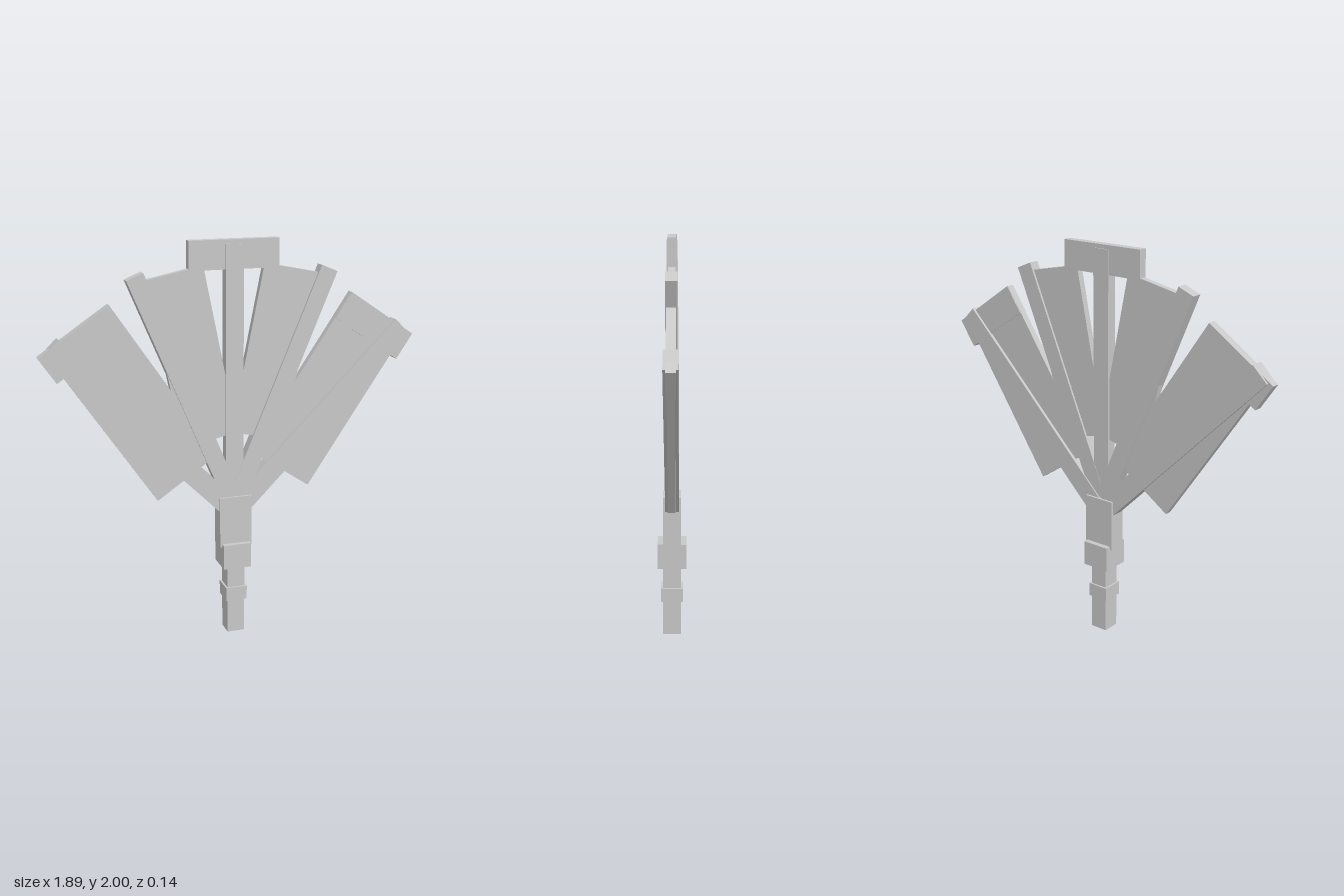
import * as THREE from 'three';

export function createModel() {
  const group = new THREE.Group();
  const grey = new THREE.MeshStandardMaterial({ color: 0xc8c8c8 });
  grey.name = 'light grey';

  // Box centred at (x, y), leaning towards +x by the given degrees
  function box(name, w, h, d, x, y, lean = 0) {
    const mesh = new THREE.Mesh(new THREE.BoxGeometry(w, h, d), grey);
    mesh.name = name;
    mesh.position.set(x, y, 0);
    mesh.rotation.z = -THREE.MathUtils.degToRad(lean);
    group.add(mesh);
  }

  // Bar running from (0, y0) to (x1, y1)
  function spoke(name, w, d, y0, x1, y1) {
    const lean = THREE.MathUtils.radToDeg(Math.atan2(x1, y1 - y0));
    box(name, w, Math.hypot(x1, y1 - y0), d, x1 / 2, (y0 + y1) / 2, lean);
  }

  // Handle
  box('handleGrip', 0.09, 0.38, 0.09, 0, 0.19);
  box('gripCollar', 0.11, 0.07, 0.11, 0, 0.213);
  box('guardBlock', 0.144, 0.127, 0.144, 0, 0.4225);
  box('spokeSocket', 0.166, 0.26, 0.09, 0, 0.6);

  // Centre spoke with its top plate
  spoke('centreSpoke', 0.09, 0.052, 0.65, 0, 1.98);
  box('topPlate', 0.45, 0.14, 0.043, 0, 1.93);

  // Mirrored spokes and fan panels
  for (const [side, s] of [['left', 1], ['right', -1]]) {
    spoke(side + 'InnerSpoke', 0.088, 0.055, 0.69, s * 0.484, 1.845);
    box(side + 'InnerPanel', 0.28, 0.842, 0.033, s * 0.206, 1.442, s * 11.5);
    spoke(side + 'OuterSpoke', 0.105, 0.067, 0.649, s * 0.884, 1.537);
    box(side + 'OuterPanel', 0.37, 0.929, 0.035, s * 0.5, 1.233, s * 34);
    box(side + 'OuterCap', 0.408, 0.15, 0.043, s * 0.735, 1.545, s * 34);
  }
  return group;
}
